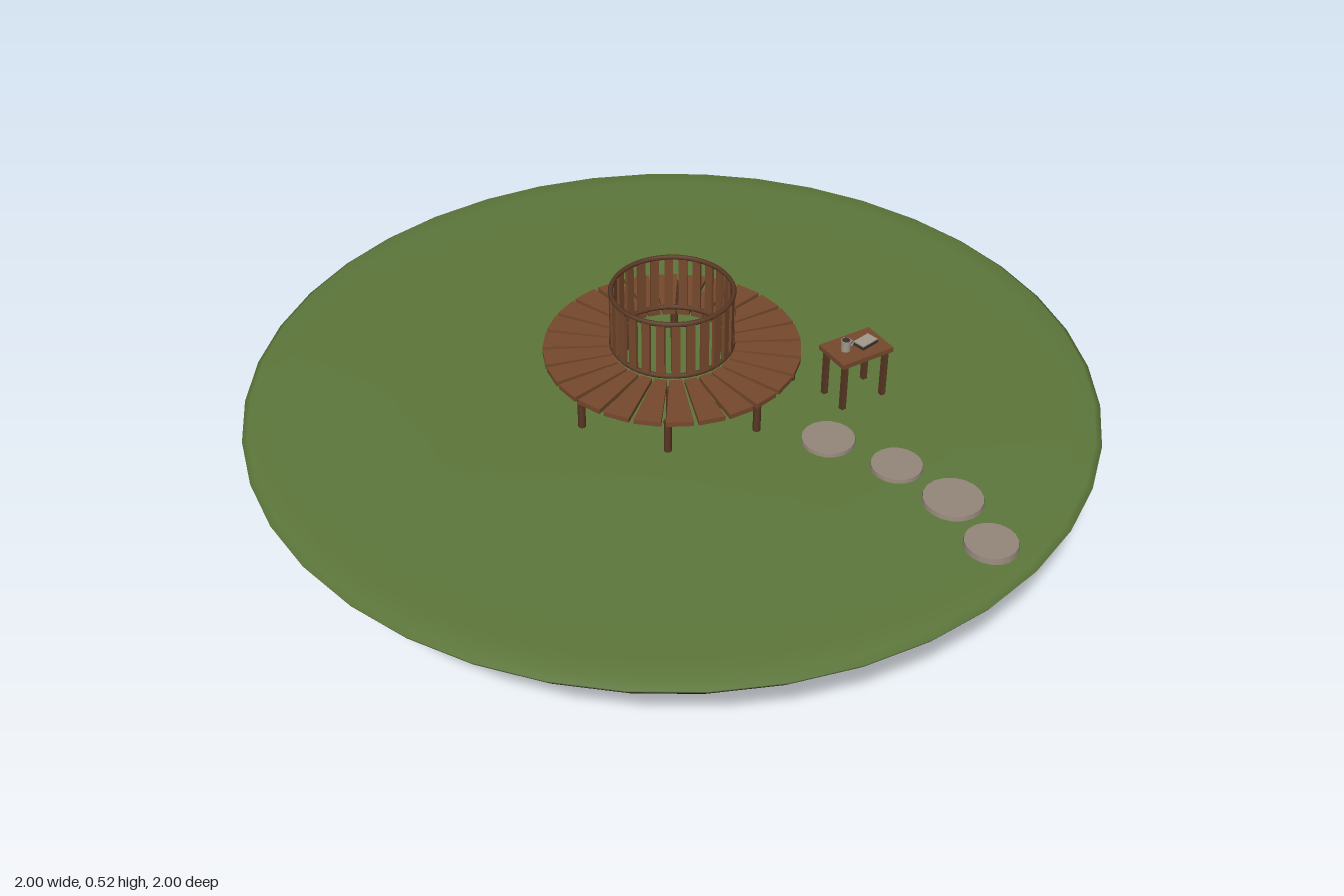
import * as THREE from 'three';

const flat = (name, color) => {
  const m = new THREE.MeshStandardMaterial({ color });
  m.name = name;
  return m;
};

export function createModel() {
  const grass = flat('grass', 0x5d773b);
  const soil = flat('soil', 0x3b291e);
  const wood = flat('wood', 0x76492d);
  const darkWood = flat('darkWood', 0x5a3823);
  const stone = flat('stone', 0x95877a);
  const paper = flat('paper', 0xa39a8c);
  const dark = flat('darkCover', 0x3a3230);
  soil.side = THREE.DoubleSide;

  const model = new THREE.Group();
  const group = (name, parent = model) => {
    const g = new THREE.Group();
    g.name = name;
    parent.add(g);
    return g;
  };
  const add = (parent, name, geometry, material, x = 0, y = 0, z = 0) => {
    const mesh = new THREE.Mesh(geometry, material);
    mesh.name = name;
    mesh.position.set(x, y, z);
    parent.add(mesh);
    return mesh;
  };
  // Place a part on a ring, angle measured from +z towards +x
  const onRing = (mesh, angle, radius) => {
    mesh.position.x = Math.sin(angle) * radius;
    mesh.position.z = Math.cos(angle) * radius;
    mesh.rotation.y = angle;
  };
  const lathe = (pts, segments) =>
    new THREE.LatheGeometry(pts.map(([x, y]) => new THREE.Vector2(x, y)), segments);

  // Island: shallow soil bowl under a soft-edged lawn
  const island = group('island');
  add(island, 'soilBowl', lathe(
    [[0, 0.005], [0.39, 0.022], [0.74, 0.088], [0.92, 0.167], [0.975, 0.225], [0.98, 0.245]], 40), soil);
  add(island, 'lawn', lathe(
    [[0.9, 0.236], [0.97, 0.238], [0.995, 0.247], [1, 0.256], [0.985, 0.266],
      [0.93, 0.271], [0.8, 0.274], [0.6, 0.276], [0, 0.276]], 40), grass);

  // Stepping stones
  const path = group('path');
  [[0.175, 0.39, 0.063], [0.25, 0.545, 0.06], [0.285, 0.7, 0.069], [0.265, 0.853, 0.06]]
    .forEach(([x, z, r]) => add(path, 'steppingStone',
      new THREE.CylinderGeometry(r * 0.96, r, 0.016, 18), stone, x, 0.277, z));

  // Round bench: tapered radial planks
  const bench = group('bench');
  const count = 26;
  const outline = new THREE.Shape([
    new THREE.Vector2(-0.0145, 0.142), new THREE.Vector2(0.0145, 0.142),
    new THREE.Vector2(0.031, 0.3), new THREE.Vector2(-0.031, 0.3)]);
  const plankGeo = new THREE.ExtrudeGeometry(outline, { depth: 0.012, bevelEnabled: false });
  plankGeo.rotateX(Math.PI / 2);
  const slatGeo = new THREE.BoxGeometry(0.02, 0.142, 0.008);
  for (let i = 0; i < count; i++) {
    const a = (i / count) * Math.PI * 2;
    add(bench, 'seatPlank', plankGeo, wood, 0, 0.37, 0).rotation.y = a;
    onRing(add(bench, 'backSlat', slatGeo, wood, 0, 0.448, 0), a, 0.141);
  }

  // Rails holding the backrest
  [0.38, 0.52].forEach((y) => {
    const rail = add(bench, 'backRail', new THREE.TorusGeometry(0.141, 0.006, 6, 40), darkWood, 0, y, 0);
    rail.rotation.x = Math.PI / 2;
  });

  // Two rings of legs
  const legGeo = new THREE.CylinderGeometry(0.009, 0.009, 0.09, 8);
  for (let i = 0; i < 8; i++) {
    const a = 0.21 + (i * Math.PI) / 4;
    onRing(add(bench, 'outerLeg', legGeo, darkWood, 0, 0.315, 0), a, 0.28);
    onRing(add(bench, 'innerLeg', legGeo, darkWood, 0, 0.315, 0), a, 0.16);
  }

  // Side table with a mug and an open book
  const table = group('sideTable');
  table.position.set(0.328, 0, 0.272);
  add(table, 'tableTop', new THREE.BoxGeometry(0.14, 0.012, 0.096), wood, 0, 0.403, 0);
  const tableLeg = new THREE.BoxGeometry(0.012, 0.125, 0.012);
  for (const sx of [-1, 1]) for (const sz of [-1, 1])
    add(table, 'tableLeg', tableLeg, darkWood, sx * 0.056, 0.336, sz * 0.036);

  const mug = group('mug', table);
  mug.position.set(-0.03, 0.409, 0);
  add(mug, 'mugBody', new THREE.CylinderGeometry(0.012, 0.011, 0.027, 14), paper, 0, 0.0135, 0);
  add(mug, 'drink', new THREE.CylinderGeometry(0.0095, 0.0095, 0.001, 14), dark, 0, 0.0273, 0);
  add(mug, 'mugHandle', new THREE.TorusGeometry(0.007, 0.002, 6, 12), paper, 0.013, 0.014, 0);

  const book = group('book', table);
  book.position.set(0.024, 0.409, 0.002);
  book.rotation.y = 0.2;
  add(book, 'bookCover', new THREE.BoxGeometry(0.05, 0.007, 0.033), dark, 0, 0.0035, 0);
  add(book, 'bookPages', new THREE.BoxGeometry(0.047, 0.003, 0.03), paper, 0, 0.0085, 0);

  return model;
}
